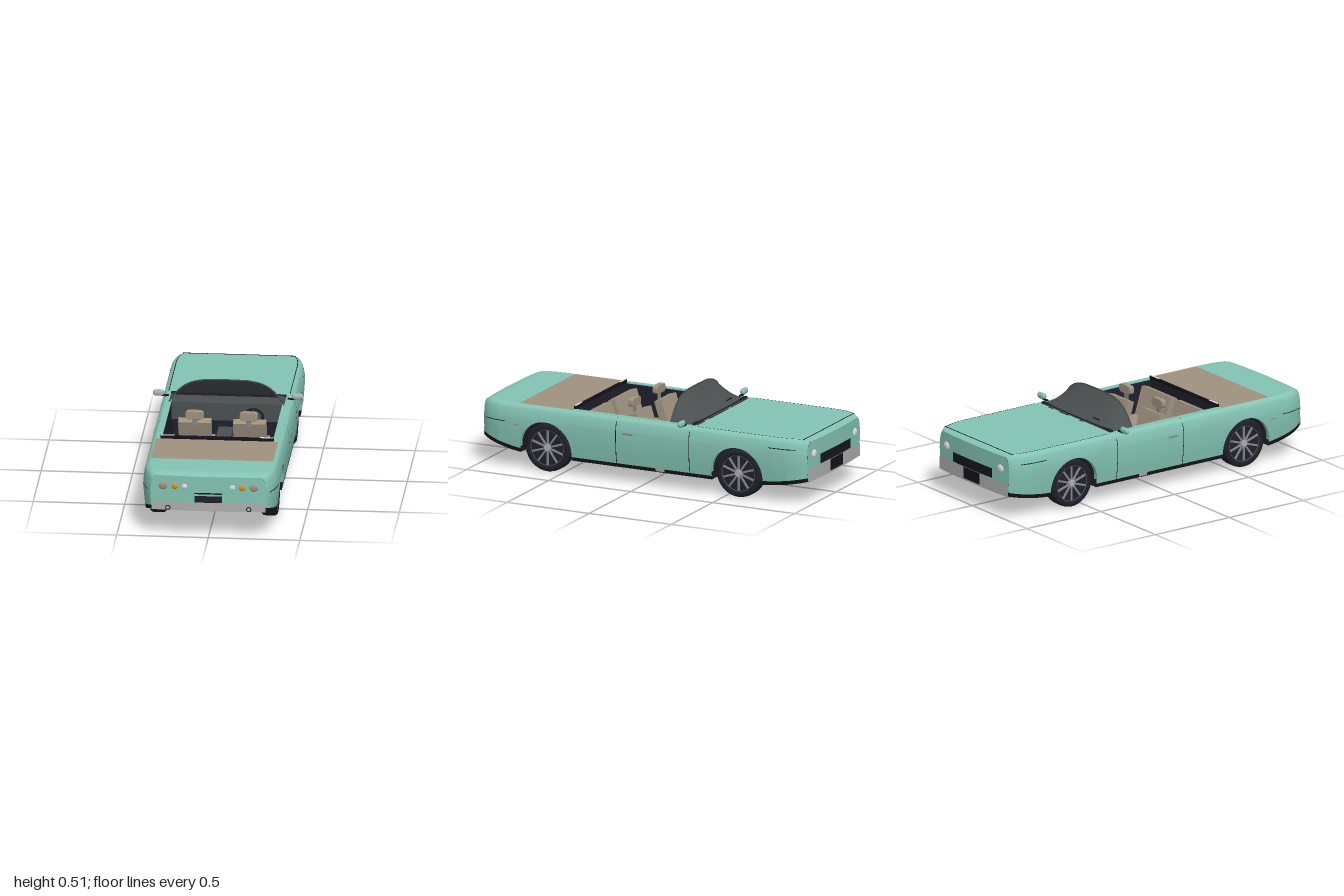
import * as THREE from 'three';

const mat = (name, color) => new THREE.MeshStandardMaterial({ name, color, side: THREE.DoubleSide });

export function createModel() {
  const car = new THREE.Group();
  car.name = 'convertible';
  const teal = mat('teal paint', 0x84c4b4), tan = mat('tan leather', 0xa09280), black = mat('black trim', 0x131318);
  const navy = mat('dark rubber', 0x1f202b), grey = mat('dark grey', 0x4a4f50), silver = mat('silver', 0xaeaeae);
  const white = mat('clear lens', 0xdedede), amber = mat('amber lens', 0xd8942a), steel = mat('steel', 0x85878a);

  const add = (name, geo, m, x = 0, y = 0, z = 0, parent = car) => {
    const mesh = new THREE.Mesh(geo, m);
    mesh.name = name;
    mesh.position.set(x, y, z);
    parent.add(mesh);
    return mesh;
  };
  const box = (name, w, h, d, m, x, y, z, parent) => add(name, new THREE.BoxGeometry(w, h, d), m, x, y, z, parent);
  const lerp = THREE.MathUtils.lerp;
  // piecewise linear lookup through [input, output] pairs
  const curve = (pts, v) => {
    if (v <= pts[0][0]) return pts[0][1];
    for (let i = 1; i < pts.length; i++) {
      const [a, fa] = pts[i - 1], [b, fb] = pts[i];
      if (v <= b) return lerp(fa, fb, (v - a) / (b - a));
    }
    return pts[pts.length - 1][1];
  };
  // grid surface from a point rule
  const surf = (name, fn, nu, nv, m) => {
    const pos = [], idx = [];
    for (let i = 0; i <= nu; i++) for (let j = 0; j <= nv; j++) pos.push(...fn(i / nu, j / nv));
    for (let i = 0; i < nu; i++) for (let j = 0; j < nv; j++) {
      const a = i * (nv + 1) + j, b = a + nv + 1;
      idx.push(a, b, a + 1, b, b + 1, a + 1);
    }
    const g = new THREE.BufferGeometry();
    g.setAttribute('position', new THREE.Float32BufferAttribute(pos, 3));
    g.setIndex(idx);
    g.computeVertexNormals();
    return add(name, g, m);
  };

  // body shape rules
  const TOP = 0.365, END = 0.985, ARCH = 0.155, wheelZ = [0.588, -0.577];
  const planWidth = z => curve([[0.8, 0.37], [0.88, 0.365], [0.93, 0.352], [0.965, 0.335], [END, 0.318]], Math.abs(z));
  const inset = y => curve([[0.09, 0.018], [0.16, 0.007], [0.25, 0], [0.29, 0.001], [0.32, 0.006], [0.345, 0.013], [0.357, 0.021], [TOP, 0.037]], y);
  const sideX = (z, y) => planWidth(z) - inset(y);
  const nearEnd = z => Math.max(0, (Math.abs(z) - 0.93) / 0.055);
  const drop = (z, y) => y - 0.015 * nearEnd(z) ** 2 * (y / TOP) ** 3;
  const bulge = x => 0.013 * (1 - (x / 0.32) ** 2);
  const low = z => {
    const a = Math.abs(z);
    if (a < 0.44) return 0.085;
    return 0.092 + ((z > 0 ? 0.155 : 0.13) - 0.092) * Math.max(0, (a - 0.7) / 0.285) ** 1.5;
  };
  const upper = [0.285, 0.3, 0.315, 0.33, 0.345, 0.353, 0.36, TOP];
  const rowY = (lo, j) => (j < 4 ? lerp(lo, 0.285, j / 4) : upper[j - 4]);

  // side skins, sills and arch lips
  const spans = [[-END, -0.732], [-0.422, 0.433], [0.743, END]];
  for (const s of [1, -1]) {
    for (const [z0, z1] of spans) {
      const band = z => low(z) + (Math.abs(z) < 0.44 ? 0.02 : 0.022);
      surf('bodySide', (u, v) => {
        const z = lerp(z0, z1, u), y = rowY(band(z), Math.round(v * 11));
        return [s * sideX(z, y), drop(z, y), z];
      }, 20, 11, teal);
      surf('lowerSill', (u, v) => {
        const z = lerp(z0, z1, u), y = lerp(low(z), band(z), v);
        return [s * sideX(z, y), drop(z, y), z];
      }, 20, 1, black);
    }
    for (const c of wheelZ) {
      const arc = u => [c - ARCH * Math.cos(u * Math.PI), 0.13 + (ARCH - 0.0005) * Math.sin(u * Math.PI)];
      surf('fender', (u, v) => {
        const [z, lo] = arc(u), y = rowY(lo, Math.round(v * 11));
        return [s * sideX(z, y), y, z];
      }, 28, 11, teal);
      surf('archLip', (u, v) => {
        const [z, y] = arc(u);
        return [s * (sideX(z, y) - 0.025 * v), y, z];
      }, 28, 1, teal);
    }
    // shut lines, handle and markers lying on the side skin
    const patch = (name, z0, z1, y0, y1, m, lift = 0.002) => surf(name, (u, v) => {
      const z = lerp(z0, z1, u), y = lerp(y0, y1, v);
      return [s * (sideX(z, y) + lift), drop(z, y), z];
    }, 6, 10, m);
    patch('doorSeam', 0.155, 0.159, 0.105, 0.362, black);
    patch('doorSeam', -0.291, -0.287, 0.105, 0.362, black);
    patch('doorHandle', 0.05, 0.112, 0.276, 0.286, steel, 0.006);
    patch('frontCrease', -0.93, -0.77, 0.309, 0.313, black);
    patch('rearCrease', 0.83, 0.97, 0.262, 0.266, black);
    patch('sideMarker', 0.745, 0.78, 0.247, 0.255, tan);
    patch('sillBadge', -0.135, -0.08, 0.09, 0.112, silver, 0.004);
    surf('panelSeam', (u, v) => {
      const z = lerp(-0.95, -0.33, u);
      return [s * (sideX(z, TOP) - 0.004 * v), drop(z, TOP) + 0.001, z];
    }, 12, 1, black);
  }

  // upper decks
  const deck = (name, z0, z1, m) => surf(name, (u, v) => {
    const z = lerp(z0, z1, u), x = lerp(-1, 1, v) * sideX(z, TOP);
    return [x, drop(z, TOP), z + Math.sign(z) * bulge(x) * nearEnd(z)];
  }, 24, 12, m);
  deck('hood', -END, -0.3, teal);
  deck('trunkLid', 0.76, END, teal);
  deck('foldedTopCover', 0.44, 0.76, tan);
  box('hoodFrontSeam', 0.62, 0.002, 0.004, black, 0, 0.363, -0.955);

  // end faces, with plates that follow them
  const endZ = (e, x, lift) => e * (END + bulge(x) + lift);
  const endPatch = (name, e, x0, x1, y0, y1, m, lift = 0.004) => surf(name, (u, v) => {
    const x = lerp(x0, x1, u);
    return [x, lerp(y0, y1, v), endZ(e, x, lift)];
  }, 12, 1, m);
  for (const e of [1, -1]) {
    surf(e > 0 ? 'rearPanel' : 'nosePanel', (u, v) => {
      const y = rowY(low(e * END), Math.round(v * 11)), x = lerp(-1, 1, u) * sideX(END, y);
      return [x, drop(END, y), endZ(e, x, 0)];
    }, 16, 11, teal);
    endPatch('bumper', e, -0.312, 0.312, low(e * END) - 0.002, 0.2, silver);
  }
  endPatch('rearPlate', 1, -0.074, 0.074, 0.202, 0.24, navy);
  endPatch('trunkSlot', 1, -0.074, 0.074, 0.25, 0.258, black);
  endPatch('grille', -1, -0.18, 0.18, 0.205, 0.26, black);
  for (let i = 0; i < 4; i++) endPatch('grilleBar', -1, -0.175, 0.175, 0.212 + i * 0.013, 0.215 + i * 0.013, navy, 0.007);
  endPatch('frontPlate', -1, -0.075, 0.075, 0.14, 0.205, black, 0.008);
  const lamp = (name, e, x, y, r, m) => add(name, new THREE.SphereGeometry(r, 20, 12), m, x, y, endZ(e, x, 0)).scale.set(1, 0.9, 0.35);
  for (const s of [1, -1]) {
    lamp('tailLamp', 1, s * 0.248, 0.291, 0.024, tan);
    lamp('turnLamp', 1, s * 0.184, 0.291, 0.019, amber);
    lamp('reverseLamp', 1, s * 0.131, 0.291, 0.016, white);
    lamp('headLamp', -1, s * 0.245, 0.275, 0.026, white);
    add('exhaust', new THREE.TorusGeometry(0.012, 0.0025, 8, 20), black, s * 0.221, 0.168, endZ(1, 0.22, 0.006));
  }

  // underbody, narrowed between the wheels
  const floor = (z0, z1, half) => surf('underbody', (u, v) => {
    const z = lerp(z0, z1, u), w = half || sideX(z, low(z)), x = lerp(-1, 1, v) * w;
    return [x, low(z), z + Math.sign(z) * bulge(x) * nearEnd(z)];
  }, 10, 8, black);
  for (const [z0, z1] of spans) floor(z0, z1);
  floor(-0.732, -0.422, 0.255);
  floor(0.433, 0.743, 0.255);

  // cabin
  box('cabinFloor', 0.62, 0.01, 0.74, grey, 0, 0.11, 0.065);
  for (const s of [1, -1]) {
    box('doorLining', 0.01, 0.25, 0.74, navy, s * 0.308, 0.235, 0.065);
    box('doorTop', 0.032, 0.006, 0.75, teal, s * 0.319, 0.362, 0.068);
  }
  box('firewall', 0.62, 0.26, 0.01, navy, 0, 0.235, -0.305);
  box('rearBulkhead', 0.62, 0.26, 0.01, navy, 0, 0.235, 0.433);
  box('coverRail', 0.62, 0.02, 0.01, black, 0, 0.373, 0.435);
  box('dashboard', 0.61, 0.1, 0.13, grey, 0, 0.31, -0.235);
  box('cowl', 0.63, 0.012, 0.02, navy, 0, 0.369, -0.29);
  box('console', 0.08, 0.11, 0.46, grey, -0.005, 0.17, 0.06);
  const wheel = add('steeringWheel', new THREE.TorusGeometry(0.05, 0.007, 8, 24), navy, 0.15, 0.3, -0.14);
  wheel.rotation.x = 0.35;
  const seat = (name, x, w, z0, z1, backH, m) => {
    box(name + 'Cushion', w, 0.07, z1 - z0, m, x, 0.16, (z0 + z1) / 2);
    box(name + 'Back', w, backH, 0.045, m, x, 0.175 + backH / 2, z1 - 0.01).rotation.x = 0.3;
  };
  for (const s of [1, -1]) {
    seat('frontSeat', s * 0.15, 0.18, -0.13, 0.1, 0.19, tan);
    seat('rearSeat', s * 0.152, 0.265, 0.17, 0.365, 0.17, tan);
    const shape = new THREE.Shape().absellipse(0, 0, 0.048, 0.023, 0, Math.PI * 2);
    const pts = shape.getPoints(12).map(p => new THREE.Vector2(
      Math.sign(p.x) * 0.048 * Math.sqrt(Math.abs(p.x) / 0.048), Math.sign(p.y) * 0.023 * Math.sqrt(Math.abs(p.y) / 0.023)));
    const rest = new THREE.ExtrudeGeometry(new THREE.Shape(pts), { depth: 0.022, bevelSize: 0.002, bevelThickness: 0.004, bevelSegments: 2 });
    add('headrest', rest, tan, s * 0.148, 0.405, 0.143);
    box('headrestPost', 0.03, 0.05, 0.008, steel, s * 0.148, 0.37, 0.152);
    box('railCap', 0.075, 0.003, 0.01, white, s * 0.27, 0.384, 0.435);
  }

  // wraparound windscreen with a slim frame
  const archY = [[0, 1], [0.12, 0.985], [0.18, 0.9], [0.215, 0.79], [0.245, 0.65], [0.28, 0.37], [0.315, 0]];
  const screen = (u, t) => {
    const side = u * 2 - 1, x = 0.315 * Math.sign(side) * Math.abs(side) ** 0.75;
    return [x, 0.367 + 0.135 * curve(archY, Math.abs(x)) * (0.8 * t + 0.2 * t * t), lerp(-0.305, -0.152, t)];
  };
  surf('windscreen', screen, 32, 10, grey);
  const framePath = new THREE.CatmullRomCurve3(Array.from({ length: 25 }, (_, i) => new THREE.Vector3(...screen(i / 24, 1))));
  add('windscreenFrame', new THREE.TubeGeometry(framePath, 48, 0.004, 6), grey);
  box('wiper', 0.06, 0.004, 0.006, black, -0.15, 0.395, -0.272);

  // door mirrors
  for (const s of [1, -1]) {
    const housing = add('mirrorHousing', new THREE.CapsuleGeometry(0.018, 0.028, 6, 16), teal, s * 0.379, 0.383, -0.25);
    housing.rotation.z = Math.PI / 2;
    housing.scale.set(1, 1, 0.75);
    const glass = add('mirrorGlass', new THREE.CapsuleGeometry(0.014, 0.028, 6, 16), silver, s * 0.379, 0.383, -0.24);
    glass.rotation.z = Math.PI / 2;
    glass.scale.set(1, 1, 0.4);
    box('mirrorStem', 0.04, 0.008, 0.012, black, s * 0.345, 0.368, -0.25);
  }

  // road wheels
  const tyreProfile = [[0.1, -0.036], [0.108, -0.043], [0.124, -0.042], [0.133, -0.034], [0.135, -0.02],
    [0.135, 0.02], [0.133, 0.034], [0.124, 0.042], [0.108, 0.043], [0.1, 0.036]].map(p => new THREE.Vector2(...p));
  for (const z of wheelZ) for (const s of [1, -1]) {
    const g = new THREE.Group();
    g.name = 'wheel';
    g.position.set(s * 0.304, 0.135, z);
    g.rotation.z = -s * Math.PI / 2;
    car.add(g);
    add('tyre', new THREE.LatheGeometry(tyreProfile, 40), navy, 0, 0, 0, g);
    add('rimDish', new THREE.CylinderGeometry(0.102, 0.102, 0.05, 32), navy, 0, 0, 0, g);
    add('rimEdge', new THREE.TorusGeometry(0.1, 0.003, 6, 40), grey, 0, 0.036, 0, g).rotation.x = Math.PI / 2;
    add('hub', new THREE.CylinderGeometry(0.018, 0.022, 0.014, 20), silver, 0, 0.034, 0, g);
    for (let i = 0; i < 10; i++) {
      const a = i * Math.PI / 5;
      const spoke = box('spoke', 0.085, 0.008, 0.01, steel, 0.056 * Math.cos(a), 0.032, -0.056 * Math.sin(a), g);
      spoke.rotation.y = a;
    }
  }
  return car;
}
